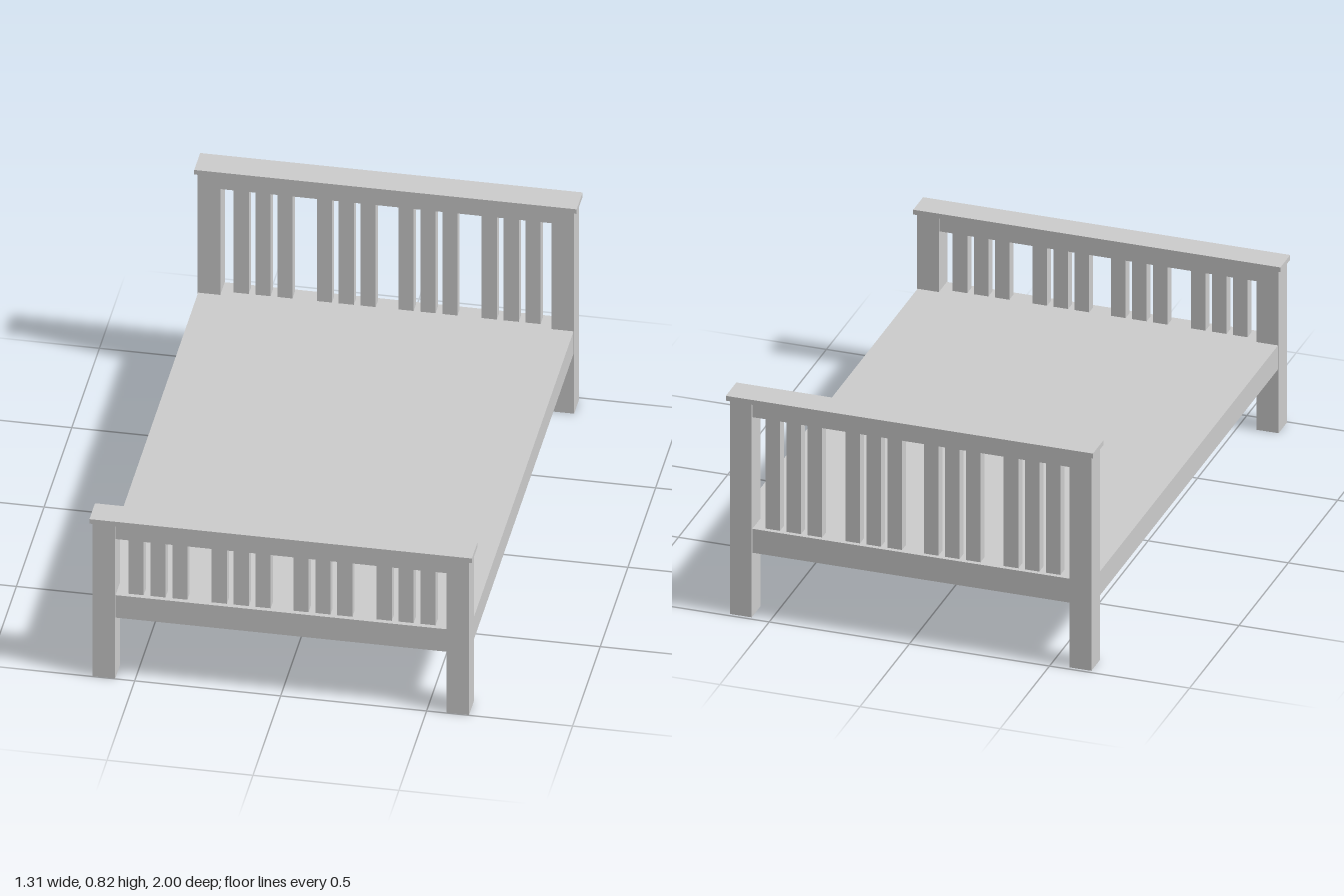
import * as THREE from 'three';

const material = new THREE.MeshStandardMaterial({ color: 0xcccccc });

// Box given by its [min, max] range on each axis
function box(name, [x0, x1], [y0, y1], [z0, z1]) {
  const mesh = new THREE.Mesh(new THREE.BoxGeometry(x1 - x0, y1 - y0, z1 - z0), material);
  mesh.position.set((x0 + x1) / 2, (y0 + y1) / 2, (z0 + z1) / 2);
  mesh.name = name;
  return mesh;
}

const POST_IN = 0.567, POST_OUT = 0.645;
const DECK_BOTTOM = 0.24, DECK_TOP = 0.33;
const SLAT_CENTRES = [0.065, 0.14, 0.215, 0.35, 0.425, 0.5];

// Posts, top rail, cap and slats of one end of the bed
function bedEnd(name, { postZ, capZ, railBottom, capBottom, capTop }) {
  const group = new THREE.Group();
  group.name = name;
  const railZ = [postZ[0] + 0.007, postZ[1] - 0.007];
  const mid = (postZ[0] + postZ[1]) / 2;

  for (const side of [-1, 1]) {
    const postX = side > 0 ? [POST_IN, POST_OUT] : [-POST_OUT, -POST_IN];
    group.add(box('post', postX, [0, capBottom], postZ));
    for (const c of SLAT_CENTRES) {
      const x = side * c;
      group.add(box('slat', [x - 0.026, x + 0.026], [DECK_TOP, railBottom], [mid - 0.02, mid + 0.02]));
    }
  }
  group.add(box('topRail', [-POST_IN, POST_IN], [railBottom, capBottom], railZ));
  group.add(box('cap', [-0.655, 0.655], [capBottom, capTop], capZ));
  return group;
}

export function createModel() {
  const bed = new THREE.Group();
  bed.name = 'bed';

  bed.add(bedEnd('headboard', {
    postZ: [-0.987, -0.9], capZ: [-1, -0.893],
    railBottom: 0.75, capBottom: 0.807, capTop: 0.825,
  }));
  bed.add(bedEnd('footboard', {
    postZ: [0.91, 0.998], capZ: [0.9, 1],
    railBottom: 0.555, capBottom: 0.612, capTop: 0.63,
  }));

  // Deck between the posts, with its ends forming the lower rails
  bed.add(box('deck', [-0.643, 0.643], [DECK_BOTTOM, DECK_TOP], [-0.9, 0.91]));
  bed.add(box('headLowerRail', [-POST_IN, POST_IN], [DECK_BOTTOM, DECK_TOP], [-0.98, -0.9]));
  bed.add(box('footLowerRail', [-POST_IN, POST_IN], [DECK_BOTTOM, DECK_TOP], [0.91, 0.991]));
  return bed;
}
